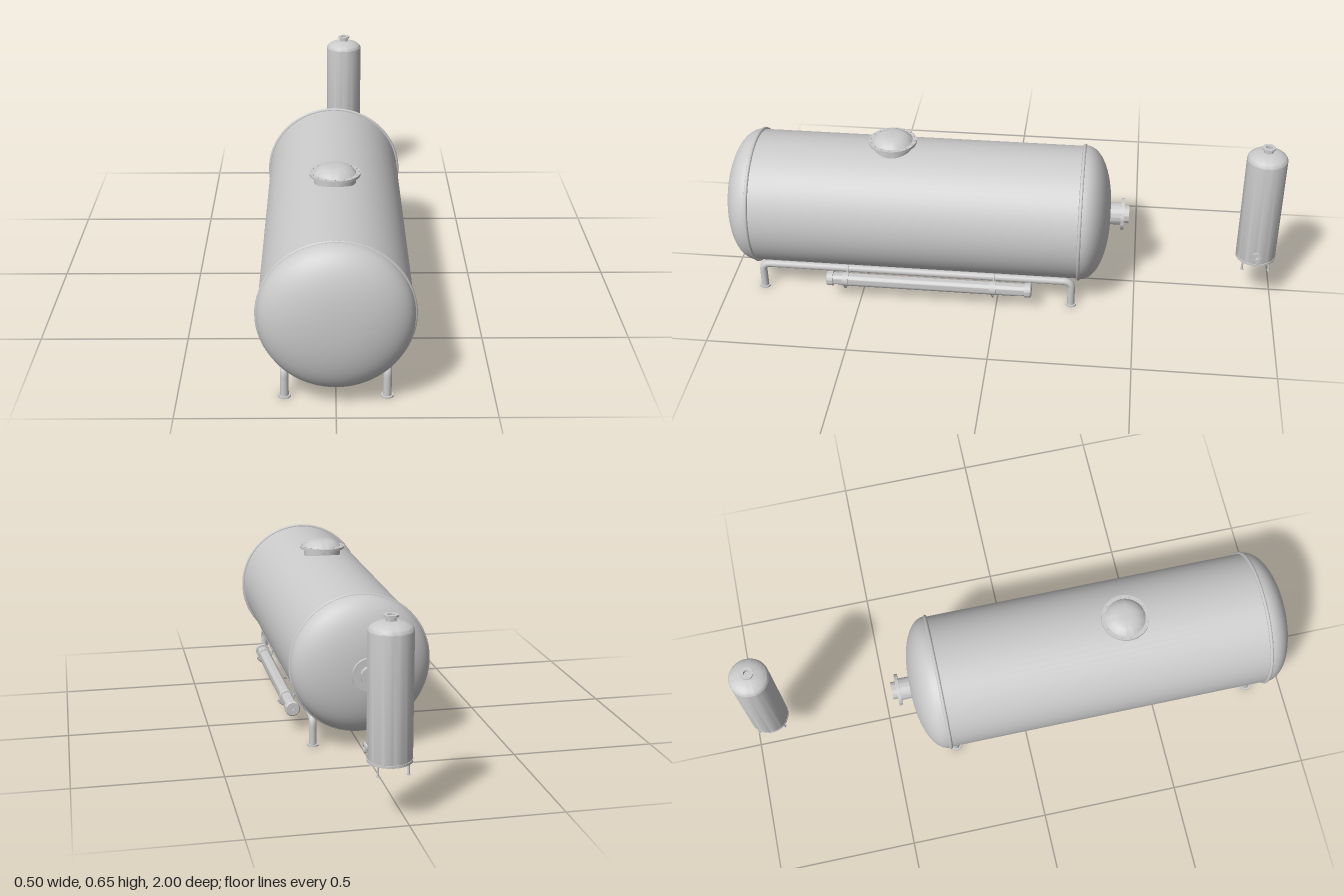
import * as THREE from 'three';
import { toCreasedNormals } from 'three/addons/utils/BufferGeometryUtils.js';

const grey = new THREE.MeshStandardMaterial({ color: 0xcccccc, side: THREE.DoubleSide });

function add(parent, name, geometry, x = 0, y = 0, z = 0) {
  const mesh = new THREE.Mesh(geometry, grey);
  mesh.name = name;
  mesh.position.set(x, y, z);
  parent.add(mesh);
  return mesh;
}

// Turned part; profile is [radius, height] from bottom to top
function turned(profile, segments = 48) {
  const pts = profile.map(([r, h]) => new THREE.Vector2(r, h));
  return toCreasedNormals(new THREE.LatheGeometry(pts, segments), 0.6);
}

// Domed end from the wall to the axis, height signed
function dome(radius, start, height, power = 2.2, steps = 14) {
  const pts = [];
  for (let i = 0; i <= steps; i++) {
    const a = (i / steps) * Math.PI / 2;
    pts.push([radius * Math.max(0, Math.cos(a)) ** (2 / power), start + height * Math.sin(a) ** (2 / power)]);
  }
  return pts;
}

function mainTank() {
  const g = new THREE.Group();
  g.name = 'mainTank';
  const R = 0.242, cy = 0.30;
  add(g, 'tankBody', turned([[R, -0.295], [R, 0.89]], 72).rotateX(Math.PI / 2), 0, cy);
  add(g, 'frontDome', turned(dome(R + 0.003, 0.89, 0.11), 72).rotateX(Math.PI / 2), 0, cy);
  add(g, 'backDome', turned(dome(R + 0.003, -0.295, -0.105).reverse(), 72).rotateX(Math.PI / 2), 0, cy);
  for (const z of [0.89, -0.295])
    add(g, 'seamRing', new THREE.TorusGeometry(0.2435, 0.0065, 8, 72), 0, cy, z);

  // Manhole with flange and domed lid
  add(g, 'manhole', turned([
    [0.07, 0.50], [0.07, 0.558], [0.085, 0.558], [0.085, 0.567], [0.071, 0.567],
    [0.065, 0.574], [0.053, 0.583], [0.038, 0.589], [0.02, 0.591], [0, 0.591],
  ]), 0, 0, 0.39);
  for (let i = 0; i < 16; i++) {
    const a = i * Math.PI / 8;
    add(g, 'manholeBolt', new THREE.CylinderGeometry(0.003, 0.003, 0.004, 6),
      0.078 * Math.cos(a), 0.568, 0.39 + 0.078 * Math.sin(a));
  }

  // Rear outlet: neck, flange and open pipe end
  add(g, 'rearOutlet', turned([
    [0, -0.435], [0.022, -0.435], [0.022, -0.466], [0.032, -0.466], [0.032, -0.448],
    [0.058, -0.448], [0.058, -0.436], [0.04, -0.436], [0.04, -0.38],
  ]).rotateX(Math.PI / 2), 0, 0.303);
  return g;
}

// Bent pipe that carries one side of the tank, with a foot at each end
function supportRail(x) {
  const g = new THREE.Group();
  g.name = 'supportRail';
  const front = 0.87, back = -0.272, top = 0.103, bend = 0.03;
  const v = (y, z) => new THREE.Vector3(x, y, z);
  const path = new THREE.CurvePath();
  path.add(new THREE.LineCurve3(v(0.004, front), v(top - bend, front)));
  path.add(new THREE.QuadraticBezierCurve3(v(top - bend, front), v(top, front), v(top, front - bend)));
  path.add(new THREE.LineCurve3(v(top, front - bend), v(top, back + bend)));
  path.add(new THREE.QuadraticBezierCurve3(v(top, back + bend), v(top, back), v(top - bend, back)));
  path.add(new THREE.LineCurve3(v(top - bend, back), v(0.004, back)));
  add(g, 'bentPipe', new THREE.TubeGeometry(path, 240, 0.0135, 16));
  for (const z of [front, back])
    add(g, 'foot', turned([[0, 0], [0.02, 0], [0.02, 0.006], [0.0135, 0.006]], 24), x, 0, z);
  return g;
}

// Slim tube slung beside the left rail
function sideTube() {
  const g = new THREE.Group();
  g.name = 'sideTube';
  const x = 0.208, y = 0.088;
  add(g, 'tubeWithCaps', turned([
    [0, -0.12], [0.005, -0.12], [0.005, -0.13], [0.023, -0.13], [0.027, -0.126], [0.027, -0.106],
    [0.022, -0.106], [0.022, 0.596], [0.027, 0.596], [0.027, 0.616], [0.023, 0.62],
    [0.005, 0.62], [0.005, 0.61], [0, 0.61],
  ], 32).rotateX(Math.PI / 2), x, y);
  // Thin cradle under the tube
  add(g, 'cradle', new THREE.CylinderGeometry(0.0245, 0.0245, 0.64, 20, 1, true, -1.7, 3.0)
    .rotateX(Math.PI / 2), x, y, 0.245);
  // Strap hooks that hang it from the rail
  for (const z of [0.55, 0.01]) {
    const hook = new THREE.CatmullRomCurve3([
      [0.166, 0.116], [0.176, 0.107], [0.182, 0.085], [0.19, 0.067],
      [0.208, 0.059], [0.227, 0.064], [0.238, 0.078],
    ].map(([px, py]) => new THREE.Vector3(px, py, z)));
    add(g, 'hook', new THREE.TubeGeometry(hook, 24, 0.004, 8));
    add(g, 'collar', new THREE.CylinderGeometry(0.0255, 0.0255, 0.022, 32).rotateX(Math.PI / 2), x, y, z);
  }
  return g;
}

// Separate upright vessel standing behind
function uprightVessel() {
  const g = new THREE.Group();
  g.name = 'uprightVessel';
  g.position.set(0.046, 0, -0.929);
  const R = 0.0705;
  add(g, 'vesselBody', turned([
    ...dome(R - 0.004, 0.193, -0.012, 2).reverse(), [R - 0.004, 0.198], [R, 0.198],
    ...dome(R, 0.597, 0.031, 2),
  ]));
  add(g, 'baseRing', turned([[R - 0.004, 0.188], [R + 0.0005, 0.188], [R + 0.0005, 0.196], [R - 0.002, 0.196]]));
  // Open top nozzle
  add(g, 'topNozzle', turned([
    [0.016, 0.62], [0.016, 0.638], [0.023, 0.640], [0.023, 0.646],
    [0.011, 0.646], [0.011, 0.632], [0, 0.632],
  ], 32));
  // Side port near the bottom
  add(g, 'sidePort', turned([
    [0.011, 0.06], [0.011, 0.074], [0.017, 0.074], [0.017, 0.08],
    [0.009, 0.08], [0.009, 0.07], [0, 0.07],
  ], 24).rotateZ(-Math.PI / 2), 0, 0.233, 0.004);
  // Four short legs on pads
  for (let i = 0; i < 4; i++) {
    const a = Math.PI / 4 + i * Math.PI / 2;
    const x = 0.067 * Math.cos(a), z = 0.067 * Math.sin(a);
    add(g, 'leg', new THREE.CylinderGeometry(0.0035, 0.0035, 0.038, 10), x, 0.176, z);
    add(g, 'legPad', new THREE.CylinderGeometry(0.006, 0.006, 0.003, 12), x, 0.1575, z);
  }
  return g;
}

export function createModel() {
  const model = new THREE.Group();
  model.name = 'storageTanks';
  model.add(mainTank(), supportRail(0.162), supportRail(-0.162), sideTube(), uprightVessel());
  return model;
}
